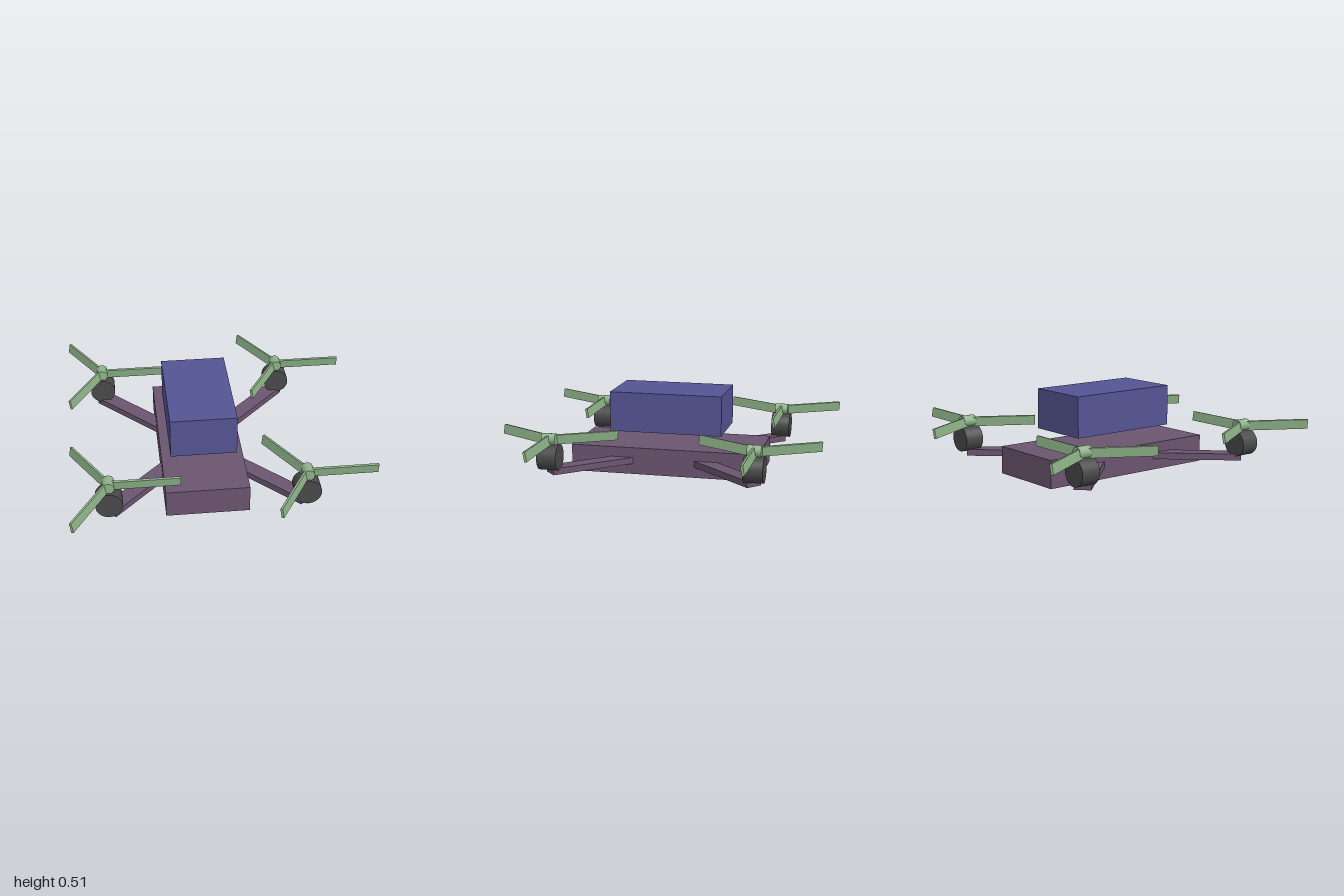
import * as THREE from 'three';

const mat = (color, flatShading = false) => new THREE.MeshStandardMaterial({ color, flatShading });

function add(parent, name, geometry, material, x, y, z) {
  const mesh = new THREE.Mesh(geometry, material);
  mesh.name = name;
  mesh.position.set(x, y, z);
  parent.add(mesh);
  return mesh;
}

export function createModel() {
  const drone = new THREE.Group();
  drone.name = 'quadcopter';

  const frameMat = mat(0x6b5570);
  const batteryMat = mat(0x545494);
  const motorMat = mat(0x4a4a4a);
  const propMat = mat(0x8fb48a);
  const cx = -0.1025; // the frame sits slightly off centre

  // Frame and the battery block floating above it
  add(drone, 'body', new THREE.BoxGeometry(0.505, 0.17, 1.19), frameMat, cx, 0.085, 0);
  add(drone, 'battery', new THREE.BoxGeometry(0.405, 0.25, 0.71), batteryMat, cx, 0.385, 0);

  const dx = 0.5875, dz = 0.625;
  const armLength = Math.hypot(dx, dz);
  const armGeo = new THREE.BoxGeometry(armLength, 0.04, 0.1).translate(armLength / 2, 0, 0);
  const motorGeo = new THREE.CylinderGeometry(0.08, 0.08, 0.12, 32).rotateX(Math.PI / 2);
  const hubGeo = new THREE.CylinderGeometry(0.036, 0.036, 0.085, 16).rotateX(Math.PI / 2);
  // Blade stands on edge with a slight pitch
  const bladeGeo = new THREE.BoxGeometry(0.425, 0.06, 0.015).rotateX(0.18).translate(0.2125, 0, 0);

  for (const sx of [-1, 1]) {
    for (const sz of [-1, 1]) {
      // Arm runs from the body centre out to the motor
      const arm = add(drone, 'arm', armGeo, frameMat, cx, 0.087, 0);
      arm.rotation.y = Math.atan2(-sz * dz, sx * dx);

      const rotor = new THREE.Group();
      rotor.name = 'rotor';
      rotor.position.set(cx + sx * dx, 0, sz * dz);
      drone.add(rotor);
      add(rotor, 'motor', motorGeo, motorMat, 0, 0.172, 0);
      add(rotor, 'hub', hubGeo, propMat, 0, 0.282, 0);
      for (let i = 0; i < 3; i++) {
        const blade = add(rotor, 'blade', bladeGeo, propMat, 0, 0.277, 0);
        blade.rotation.y = (i * Math.PI * 2) / 3;
      }
    }
  }
  return drone;
}
